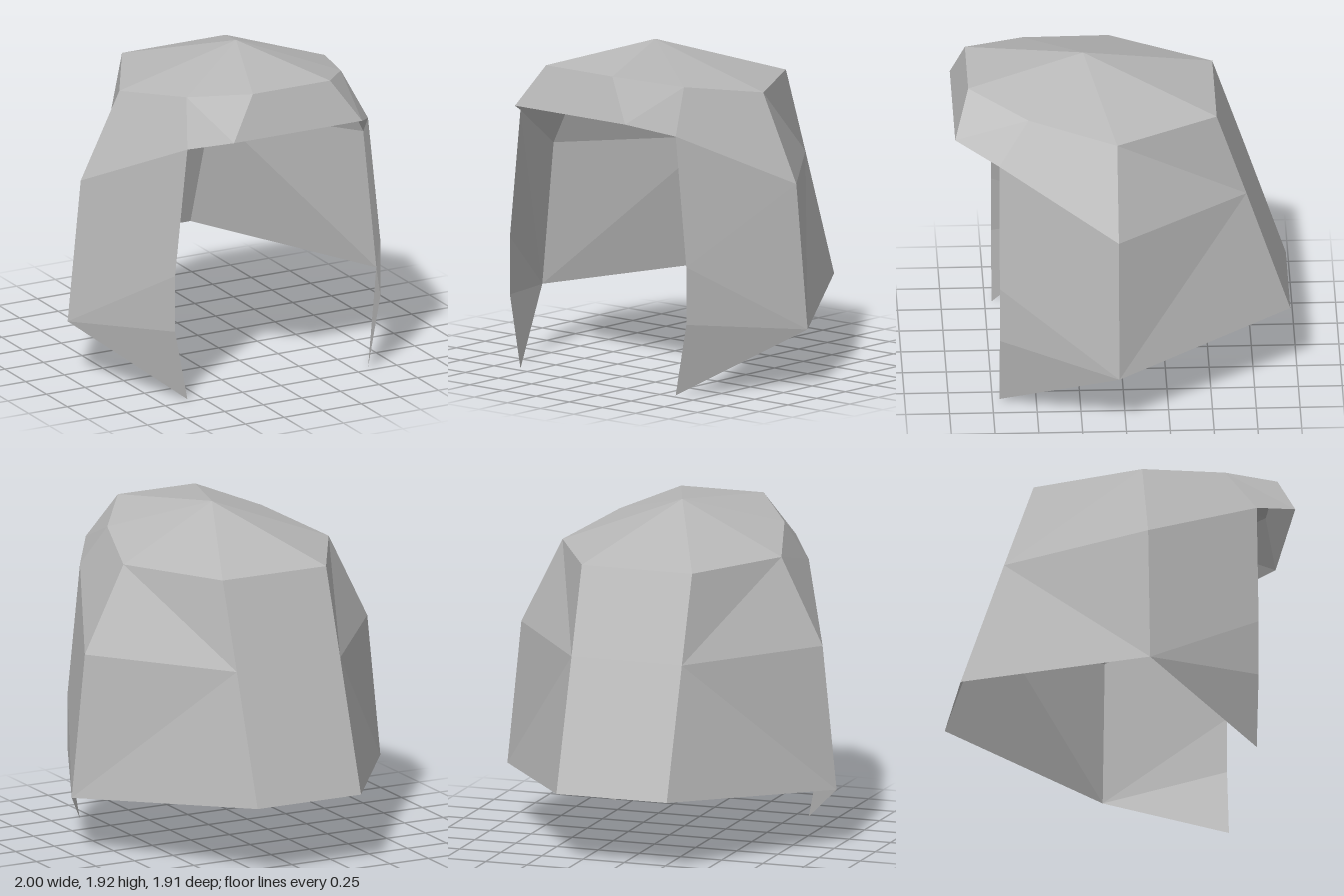
import * as THREE from 'three';

// Corner points of the left half; a trailing "-" in a face means the mirrored point
const P = {
  apex: [0, 1.92, 0.21],
  crownFront: [0.25, 1.835, 0.875],
  crownMid: [0.5, 1.755, 0.54],
  crownSide: [0.665, 1.67, 0.04],
  crownBack: [0.335, 1.67, -0.54],
  browFront: [0.415, 1.59, 0.955],
  browSide: [0.585, 1.505, 0.71],
  sideMid: [0.915, 1.17, 0.04],
  sideLow: [1, 0.335, 0.04],
  cheekTop: [0.665, 0.755, 0.71],
  cheekLow: [0.665, 0.42, 0.71],
  cheekTip: [0.585, 0, 0.71],
  backMid: [0.335, 1.17, -0.71],
  backLow: [0.335, 0.42, -0.96],
};

const point = (name) => {
  if (!name.endsWith('-')) return P[name];
  const [x, y, z] = P[name.slice(0, -1)];
  return [-x, y, z];
};
const flip = (name) => (name.endsWith('-') ? name.slice(0, -1) : name === 'apex' ? name : name + '-');
const mirror = (faces) => faces.map((f) => f.split(' ').map(flip).reverse().join(' '));

// Flat-faceted sheet from faces given as lists of point names
function sheet(name, faces, material) {
  const pos = [];
  for (const face of faces) {
    const c = face.split(' ').map(point);
    for (let i = 1; i < c.length - 1; i++) pos.push(...c[0], ...c[i], ...c[i + 1]);
  }
  const geo = new THREE.BufferGeometry();
  geo.setAttribute('position', new THREE.Float32BufferAttribute(pos, 3));
  geo.computeVertexNormals();
  const mesh = new THREE.Mesh(geo, material);
  mesh.name = name;
  return mesh;
}

export function createModel() {
  const grey = new THREE.MeshStandardMaterial({
    name: 'grey', color: 0xb8b8b8, side: THREE.DoubleSide, flatShading: true,
  });
  const group = new THREE.Group();
  group.name = 'hood';

  // Crown: fan of facets around the apex
  const crownHalf = ['apex crownFront crownMid', 'apex crownMid crownSide', 'apex crownSide crownBack'];
  group.add(sheet('crown', [
    ...crownHalf, ...mirror(crownHalf),
    'apex crownBack crownBack-', 'apex crownFront- crownFront',
  ], grey));

  // Brow band sloping out over the face opening
  const browHalf = ['crownFront browFront crownMid', 'crownMid browFront browSide'];
  group.add(sheet('brow', [
    'crownFront- browFront- browFront crownFront', ...browHalf, ...mirror(browHalf),
  ], grey));

  // Side flaps in front of the side ridge, ending in pointed cheeks
  const cheek = [
    'crownMid browSide crownSide', 'crownSide browSide sideMid',
    'sideMid browSide cheekTop sideLow', 'sideLow cheekTop cheekLow', 'sideLow cheekLow cheekTip',
  ];
  group.add(sheet('leftCheek', cheek, grey), sheet('rightCheek', mirror(cheek), grey));

  // Rear side panels
  const rear = [
    'crownSide backMid crownBack', 'crownSide sideMid backMid',
    'sideMid sideLow backMid', 'sideLow backLow backMid',
  ];
  group.add(sheet('leftRearPanel', rear, grey), sheet('rightRearPanel', mirror(rear), grey));

  // Back panel
  group.add(sheet('backPanel', [
    'crownBack backMid backMid- crownBack-', 'backMid backLow backLow- backMid-',
  ], grey));

  return group;
}
